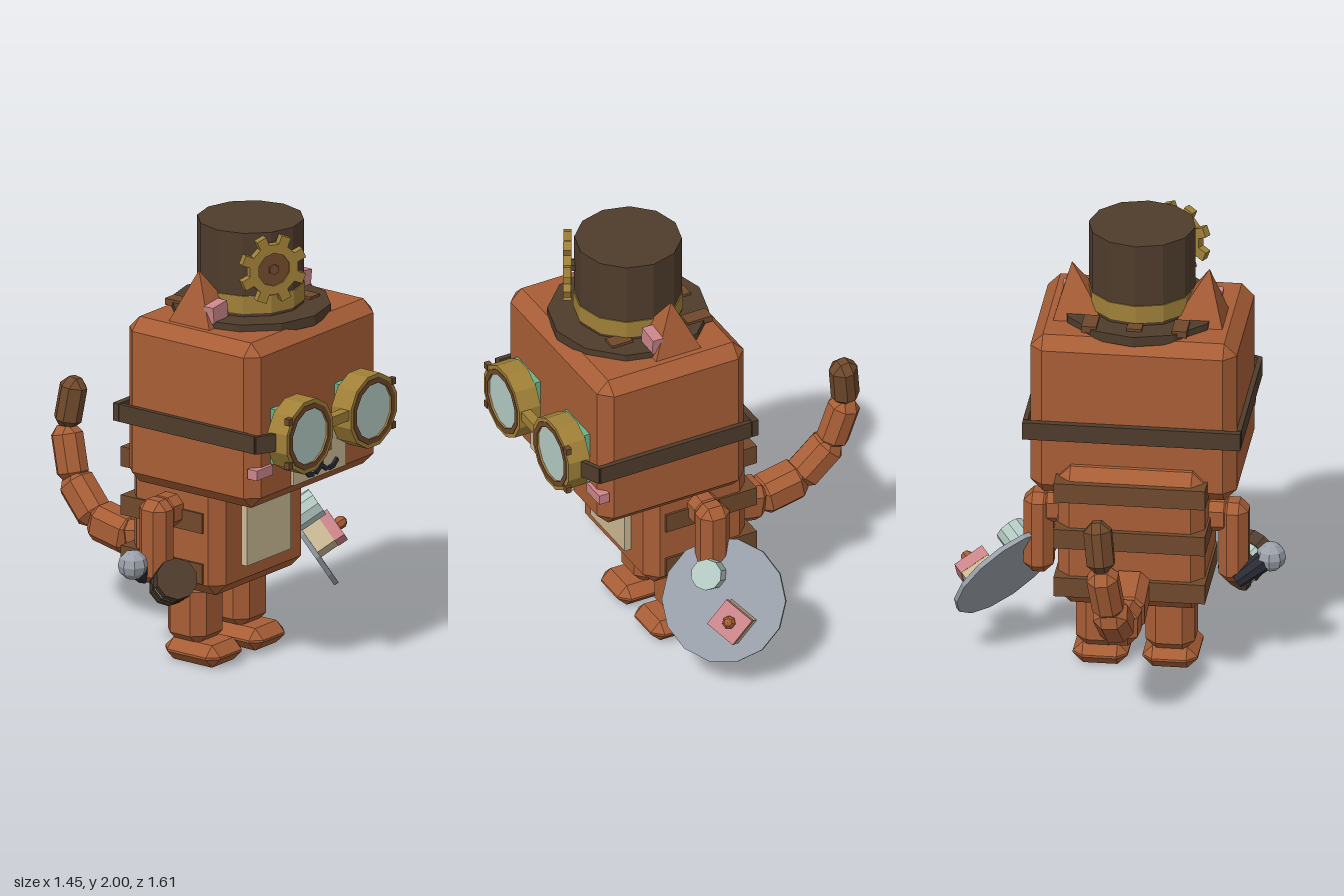
import * as THREE from 'three';
import { ConvexGeometry } from 'three/addons/geometries/ConvexGeometry.js';

const mat = (name, color) => {
  const m = new THREE.MeshStandardMaterial({ color });
  m.name = name;
  return m;
};
const V = (x, y, z) => new THREE.Vector3(x, y, z);
const CX = -0.08; // symmetry plane of the body

export function createModel() {
  const rust = mat('rust fur', 0xa85e36), felt = mat('dark felt', 0x4f3c2c);
  const gold = mat('old gold', 0xa08038), leather = mat('brown leather', 0x70492c);
  const pale = mat('pale glass', 0xb5cbc4), pink = mat('pink', 0xcc868b);
  const cream = mat('cream', 0xcbb994), grey = mat('grey metal', 0x9ba1aa);
  const navy = mat('navy', 0x2b2b38), green = mat('eye green', 0x66b48a);

  const root = new THREE.Group();
  const add = (name, geo, m, p = [0, 0, 0], r = [0, 0, 0], parent = root) => {
    const mesh = new THREE.Mesh(geo, m);
    mesh.name = name;
    mesh.position.set(...p);
    mesh.rotation.set(...r);
    parent.add(mesh);
    return mesh;
  };
  const flat = (g) => {
    const f = g.index ? g.toNonIndexed() : g;
    f.computeVertexNormals();
    return f;
  };
  const box = (w, h, d) => new THREE.BoxGeometry(w, h, d);
  // Box given by its limits
  const span = (name, m, x0, x1, y0, y1, z0, z1) =>
    add(name, box(x1 - x0, y1 - y0, z1 - z0), m, [(x0 + x1) / 2, (y0 + y1) / 2, (z0 + z1) / 2]);
  // Box with all edges bevelled by c
  const bevel = (w, h, d, c) => {
    const pts = [];
    for (const x of [-1, 1]) for (const y of [-1, 1]) for (const z of [-1, 1]) {
      for (let k = 0; k < 3; k++) {
        pts.push(V(x * (w / 2 - (k === 0 ? 0 : c)), y * (h / 2 - (k === 1 ? 0 : c)), z * (d / 2 - (k === 2 ? 0 : c))));
      }
    }
    return new ConvexGeometry(pts);
  };
  const bevelSpan = (name, m, c, x0, x1, y0, y1, z0, z1) =>
    add(name, bevel(x1 - x0, y1 - y0, z1 - z0, c), m, [(x0 + x1) / 2, (y0 + y1) / 2, (z0 + z1) / 2]);
  const cyl = (r, h, n = 12) => flat(new THREE.CylinderGeometry(r, r, h, n));
  // Aim a mesh's y axis from a to b and centre it between them
  const between = (mesh, a, b) => {
    mesh.position.copy(a).add(b).multiplyScalar(0.5);
    mesh.quaternion.setFromUnitVectors(V(0, 1, 0), b.clone().sub(a).normalize());
    return mesh;
  };
  const ngon = (n, r) => Array.from({ length: n }, (_, i) => {
    const a = (i + 0.5) * 2 * Math.PI / n;
    return new THREE.Vector2(r * Math.cos(a), r * Math.sin(a));
  });
  const ring = (outer, n, inner, depth) => {
    const s = new THREE.Shape(outer);
    s.holes.push(new THREE.Path(ngon(n, inner)));
    return flat(new THREE.ExtrudeGeometry(s, { depth, bevelEnabled: false }));
  };

  // Head, torso and belly
  bevelSpan('head', rust, 0.055, -0.53, 0.37, 0.84, 1.59, -0.055, 0.665);
  bevelSpan('torso', rust, 0.055, -0.4, 0.24, 0.35, 1.0, -0.13, 0.37);
  span('belly', cream, -0.235, 0.075, 0.47, 0.86, 0.36, 0.4);
  for (const y of [0.455, 0.685, 0.905]) span('backStripe', leather, -0.41, 0.25, y - 0.045, y + 0.045, -0.155, 0.29);

  // Paired parts
  for (const s of [-1, 1]) {
    const at = (dx) => CX + s * dx;
    add('leg', bevel(0.215, 0.3, 0.21, 0.05), rust, [at(0.152), 0.23, 0.115]);
    add('foot', bevel(0.24, 0.1, 0.3, 0.045), rust, [at(0.152), 0.05, 0.16]);
    add('arm', bevel(0.13, 0.38, 0.145, 0.04), rust, [at(0.425), 0.6, 0.115]);
    add('shoulder', bevel(0.14, 0.14, 0.13, 0.035), rust, [at(0.35), 0.72, 0.115]);
    add('ear', new ConvexGeometry([V(at(0.375), 1.57, 0.13), V(at(0.375), 1.57, 0.37), V(at(0.13), 1.57, 0.13),
      V(at(0.13), 1.57, 0.37), V(at(0.3), 1.825, 0.25)]), rust);
    add('innerEar', box(0.1, 0.075, 0.05), pink, [at(0.295), 1.655, 0.34], [0, 0, -s * 0.12]);
    add('cheek', box(0.115, 0.045, 0.05), pink, [at(0.39), 1.012, 0.657]);

    // Goggle, with the eye behind it
    const gx = at(0.225), gy = 1.16;
    add('eye', box(0.21, 0.25, 0.045), green, [gx, gy, 0.675]);
    add('goggleRim', ring(ngon(12, 0.168), 12, 0.127, 0.105), gold, [gx, gy, 0.695]);
    add('goggleLip', ring(ngon(12, 0.15), 12, 0.126, 0.004), leather, [gx, gy, 0.799]);
    add('lens', cyl(0.128, 0.06), pale, [gx, gy, 0.762], [Math.PI / 2, Math.PI / 12, 0]);
    for (const dy of [-0.1, 0.1]) add('rivet', box(0.028, 0.03, 0.025), leather, [gx + s * 0.138, gy + dy, 0.792]);

    // Strap sides
    add('strapSide', box(0.022, 0.08, 0.74), felt, [at(0.465), 1.16, 0.32]);
    add('strapEnd', box(0.1, 0.08, 0.02), felt, [at(0.425), 1.16, 0.71], [0, s * 0.45, 0]);
  }
  span('strapBack', felt, -0.555, 0.395, 1.12, 1.2, -0.085, -0.055);
  span('goggleBridge', gold, -0.15, -0.01, 1.155, 1.2, 0.745, 0.79);

  // Muzzle, nose and mouth
  span('muzzle', cream, -0.265, 0.105, 0.9, 1.1, 0.655, 0.68);
  span('nose', rust, -0.133, -0.03, 1.01, 1.08, 0.67, 0.705);
  const bar = (x0, y0, x1, y1) => add('mouth', box(Math.hypot(x1 - x0, y1 - y0) + 0.008, 0.018, 0.02), navy,
    [(x0 + x1) / 2, (y0 + y1) / 2, 0.683], [0, 0, Math.atan2(y1 - y0, x1 - x0)]);
  bar(CX, 0.945, CX, 1.01);
  for (const s of [-1, 1]) {
    const x = (d) => CX + s * d;
    bar(x(0), 0.95, x(0.035), 0.925);
    bar(x(0.06), 0.922, x(0.085), 0.925);
    bar(x(0.085), 0.925, x(0.11), 0.948);
  }

  // Top hat
  const HZ = 0.3;
  add('hatBrim', cyl(0.35, 0.045), felt, [CX, 1.598, HZ]);
  add('hatCrown', cyl(0.233, 0.39), felt, [CX, 1.805, HZ]);
  add('hatBand', cyl(0.238, 0.08), gold, [CX, 1.675, HZ]);
  for (const [x, z, d] of [[-0.277, 0.07, 0.12], [-0.08, 0.04, 0.06], [0.117, 0.07, 0.12], [0.117, 0.45, 0.1]]) {
    add('brimPatch', box(0.066, 0.03, d), leather, [x, 1.617, z]);
  }

  // Gear on the hat
  const gear = new THREE.Group();
  gear.name = 'gear';
  gear.position.set(-0.215, 1.845, 0.525);
  gear.rotation.y = -0.5;
  root.add(gear);
  const teeth = [];
  for (let i = 0; i < 8; i++) {
    const a = (i + 0.5) * Math.PI / 4;
    for (const [da, r] of [[-0.2, 0.115], [-0.15, 0.155], [0.15, 0.155], [0.2, 0.115]]) {
      teeth.push(new THREE.Vector2(r * Math.cos(a + da), r * Math.sin(a + da)));
    }
  }
  add('gearWheel', ring(teeth, 10, 0.075, 0.035), gold, [0, 0, -0.017], [0, 0, 0], gear);
  add('gearHub', cyl(0.078, 0.02, 10), leather, [0, 0, 0], [Math.PI / 2, 0, 0], gear);
  add('gearNut', cyl(0.024, 0.04, 6), leather, [0, 0, 0], [Math.PI / 2, 0, 0], gear);
  add('gearAxle', cyl(0.03, 0.08, 6), felt, [0, 0, -0.045], [Math.PI / 2, 0, 0], gear);

  // Tail, a chain of bevelled segments
  const tail = [[-0.08, 0.46, -0.1], [-0.08, 0.42, -0.34], [-0.08, 0.46, -0.54], [-0.06, 0.61, -0.685],
    [-0.035, 0.82, -0.745], [-0.01, 1.05, -0.715]].map((p) => V(...p));
  const widths = [0.175, 0.165, 0.15, 0.135, 0.12];
  widths.forEach((w, i) => {
    const len = tail[i].distanceTo(tail[i + 1]) + (i < 4 ? 0.03 : 0);
    between(add(i < 4 ? 'tailSegment' : 'tailTip', bevel(w, len, w, 0.04), i < 4 ? rust : leather), tail[i], tail[i + 1]);
  });

  // Banded cup in the right hand
  const cupA = V(-0.605, 0.49, 0.305), cupB = V(-0.49, 0.395, 0.165);
  [[0, 0.3, felt, 0.092], [0.3, 0.5, pale, 0.085], [0.5, 0.68, felt, 0.088], [0.68, 0.85, pale, 0.08], [0.85, 1, felt, 0.085]]
    .forEach(([t0, t1, m, r]) => {
      const a = cupA.clone().lerp(cupB, t0), b = cupA.clone().lerp(cupB, t1);
      between(add('cup', cyl(r, a.distanceTo(b), 10), m), a, b);
    });

  // Round-headed tool beside it
  const toolA = V(-0.52, 0.43, 0.055), toolB = V(-0.66, 0.53, 0.11);
  between(add('toolHandle', flat(new THREE.CylinderGeometry(0.05, 0.035, toolA.distanceTo(toolB), 8)), navy), toolA, toolB);
  add('toolHead', flat(new THREE.SphereGeometry(0.066, 8, 6)), grey, [-0.665, 0.53, 0.11]);

  // Tilted tray in the left hand, with a cup and a cake
  const tray = new THREE.Group();
  tray.name = 'tray';
  tray.position.set(0.49, 0.38, 0.135);
  tray.quaternion.setFromUnitVectors(V(0, 1, 0), V(0.64, 0.54, 0.54).normalize())
    .multiply(new THREE.Quaternion().setFromAxisAngle(V(0, 1, 0), 0.3));
  root.add(tray);
  add('trayPlate', cyl(0.272, 0.022, 14), grey, [0, 0, 0], [0, 0, 0], tray);
  const onTray = (x, y, z) => tray.worldToLocal(V(x, y, z));
  tray.updateMatrixWorld(true);
  const cup = onTray(0.45, 0.51, 0.19), cherry = onTray(0.672, 0.4, 0.21);
  add('trayCup', cyl(0.068, 0.13, 10), pale, [cup.x, 0.07, cup.z], [0, 0, 0], tray);
  add('cakeBase', box(0.14, 0.095, 0.13), cream, [cherry.x, 0.055, cherry.z], [0, 0, 0], tray);
  add('cakeIcing', box(0.145, 0.05, 0.135), pink, [cherry.x, 0.125, cherry.z], [0, 0, 0], tray);
  add('cherry', flat(new THREE.SphereGeometry(0.03, 7, 5)), rust, [cherry.x, 0.165, cherry.z], [0, 0, 0], tray);

  return root;
}
